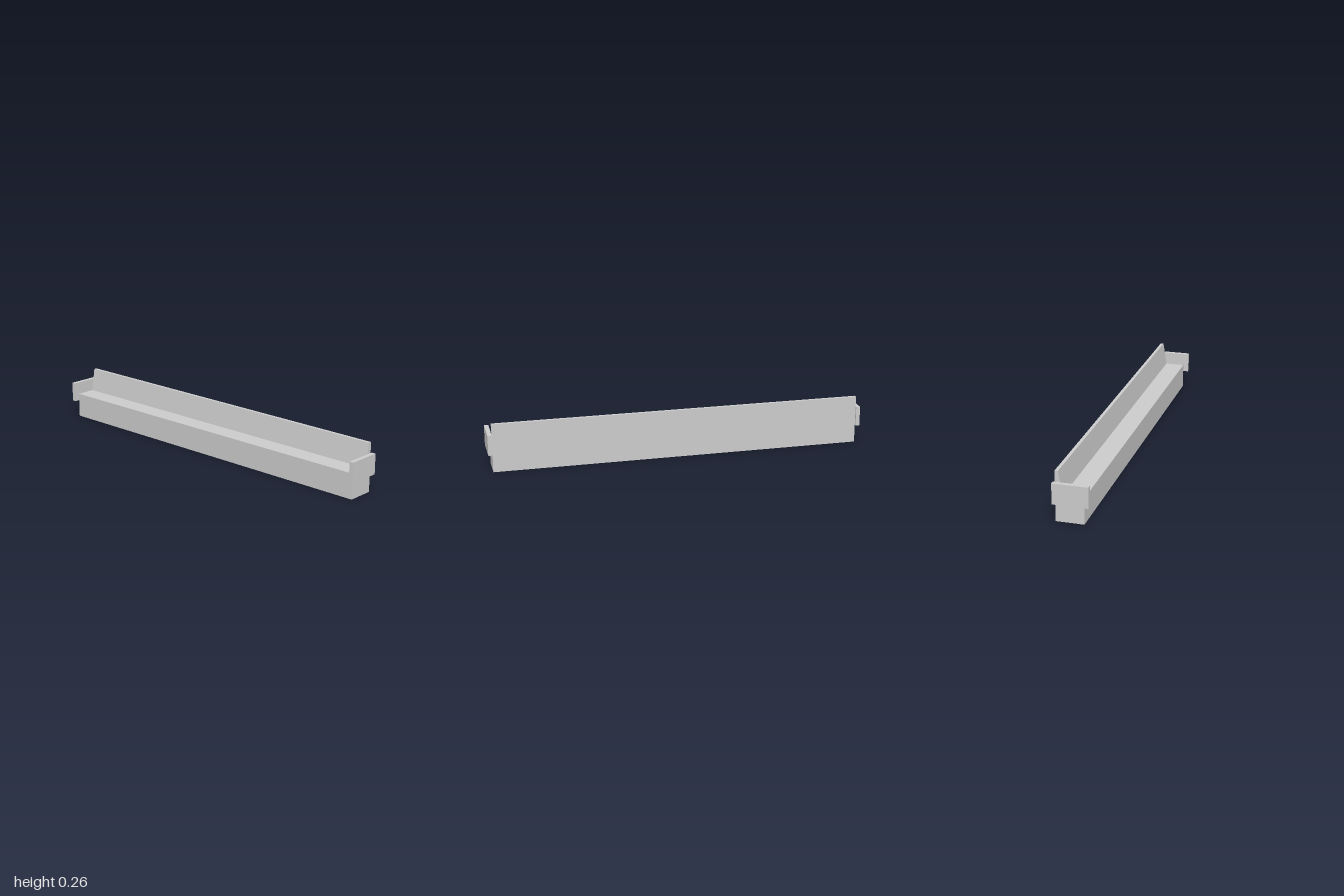
import * as THREE from 'three';

const END = 0.978; // half length of the beam, where the end plates begin

export function createModel() {
  const group = new THREE.Group();
  const material = new THREE.MeshStandardMaterial({ color: 0xcccccc, flatShading: true });

  // Long beam: flat ledge on the right, tall tapered lip on the left
  const profile = new THREE.Shape([
    [-0.061, 0], [0.079, 0], [0.079, 0.256],
    [0.0625, 0.256], [0.043, 0.132], [-0.061, 0.132],
  ].map(([x, y]) => new THREE.Vector2(x, y)));
  const beamGeometry = new THREE.ExtrudeGeometry(profile, { depth: 2 * END, bevelEnabled: false });
  beamGeometry.translate(0, 0, -END);
  const beam = new THREE.Mesh(beamGeometry, material);
  beam.name = 'beam';
  group.add(beam);

  // Rectangular plates capping both ends
  const plateGeometry = new THREE.BoxGeometry(0.178, 0.106, 1 - END);
  for (const side of [1, -1]) {
    const plate = new THREE.Mesh(plateGeometry, material);
    plate.name = side > 0 ? 'frontEndPlate' : 'backEndPlate';
    plate.position.set(0, 0.147, side * (1 + END) / 2);
    group.add(plate);
  }

  return group;
}
